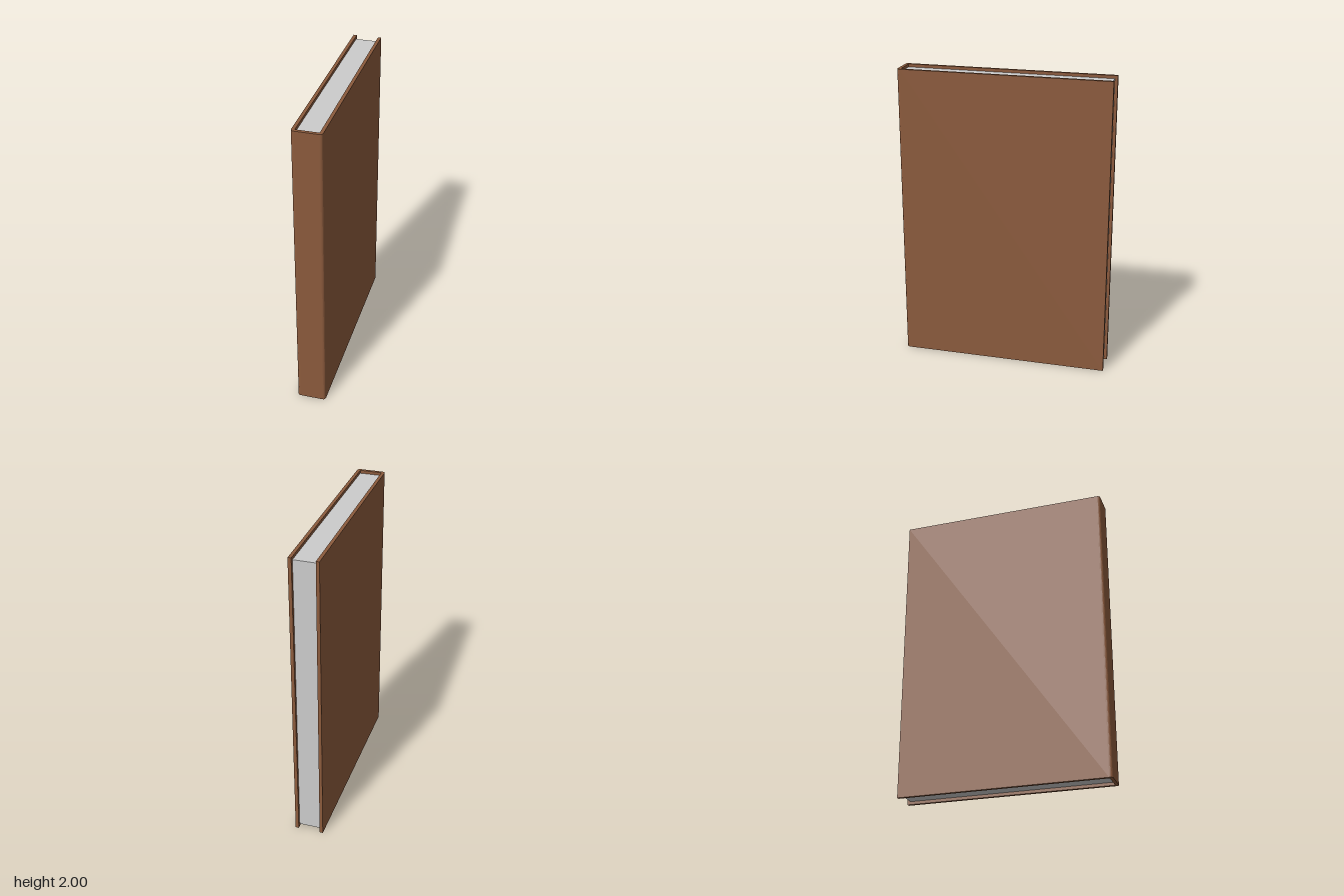
import * as THREE from 'three';

const HEIGHT = 2, HALF_W = 0.095, HALF_D = 0.703; // overall size
const BOARD = 0.022, RADIUS = 0.022;             // cover thickness, spine corner radius
const INSET = 0.02;                              // pages set back from the cover edges

// U-shaped cover outline: shape y points to the back, the spine is at -HALF_D
function coverShape() {
  const w = HALF_W, d = HALF_D, r = RADIUS, i = HALF_W - BOARD;
  const s = new THREE.Shape();
  s.moveTo(-w, d);
  s.lineTo(-w, -d + r);
  s.quadraticCurveTo(-w, -d, -w + r, -d);
  s.lineTo(w - r, -d);
  s.quadraticCurveTo(w, -d, w, -d + r);
  s.lineTo(w, d);
  s.lineTo(i, d);
  s.lineTo(i, -d + BOARD);
  s.lineTo(-i, -d + BOARD);
  s.lineTo(-i, d);
  s.closePath();
  return s;
}

export function createModel() {
  const book = new THREE.Group();
  book.name = 'book';

  // Cover: two boards and the spine in one piece
  const coverGeometry = new THREE.ExtrudeGeometry(coverShape(), {
    depth: HEIGHT, bevelEnabled: false, curveSegments: 6,
  });
  coverGeometry.rotateX(-Math.PI / 2);
  const cover = new THREE.Mesh(coverGeometry, new THREE.MeshStandardMaterial({ color: 0x8b5a3c }));
  cover.name = 'cover';
  book.add(cover);

  // Page block between the boards
  const front = HALF_D - BOARD, back = -HALF_D + INSET;
  const pages = new THREE.Mesh(
    new THREE.BoxGeometry(2 * (HALF_W - BOARD), HEIGHT - 2 * INSET, front - back),
    new THREE.MeshStandardMaterial({ color: 0xcccccc }),
  );
  pages.position.set(0, HEIGHT / 2, (front + back) / 2);
  pages.name = 'pages';
  book.add(pages);

  return book;
}
